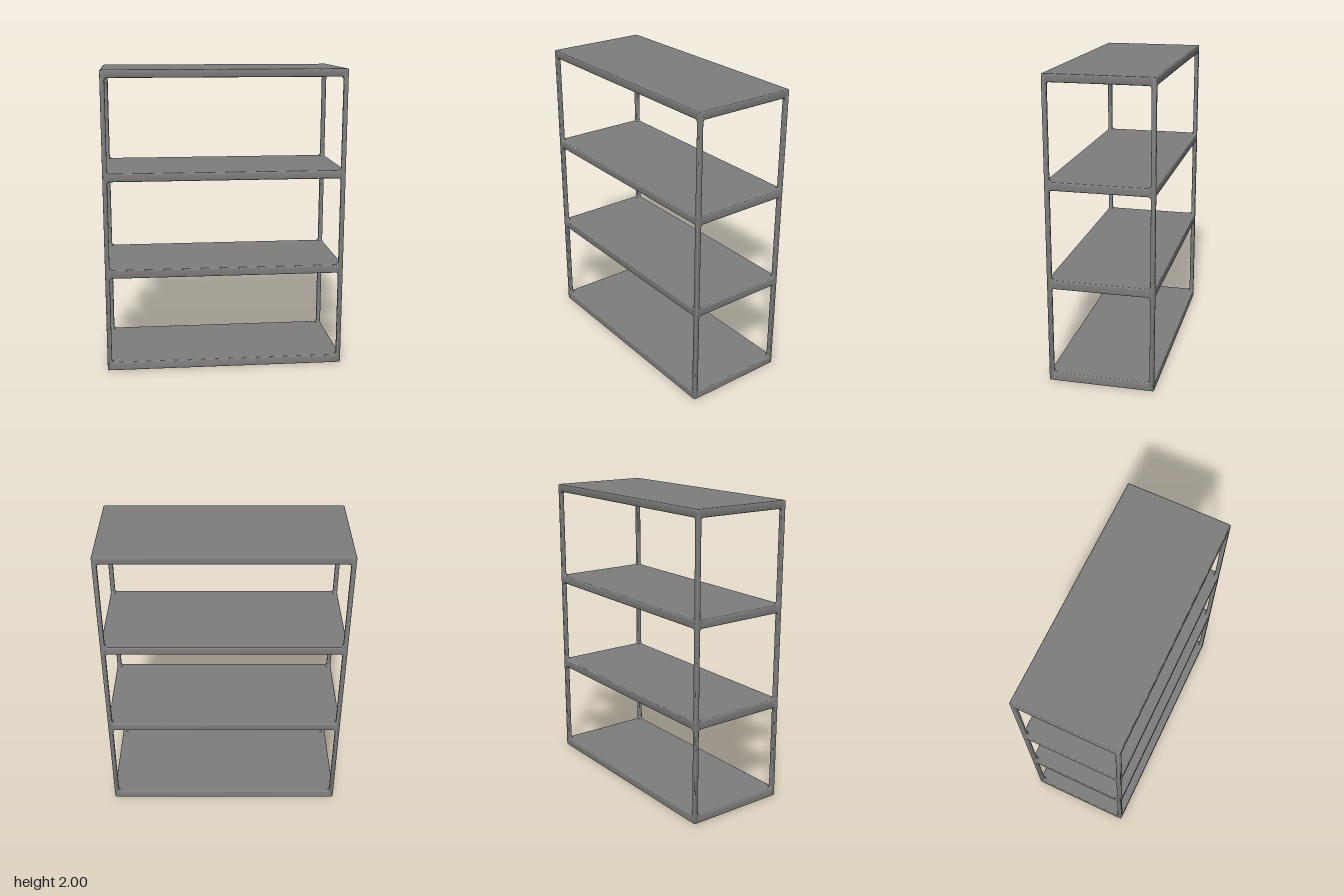
import * as THREE from 'three';
import { toCreasedNormals } from 'three/addons/utils/BufferGeometryUtils.js';

const HALF_W = 0.795, HALF_D = 0.347, HEIGHT = 2;
const TUBE = 0.03, BEVEL = 0.008, FILLET = 0.018;
// Bottom and top height of each shelf
const SHELVES = [[0, 0.057], [0.64, 0.698], [1.285, 1.34], [1.948, HEIGHT]];

const metal = new THREE.MeshStandardMaterial({ color: 0x7e7e7e });
metal.name = 'grey metal';

// Rectangle with rounded corners, drawn into a Shape or Path
function roundedRect(path, x0, y0, x1, y1, r) {
  path.absarc(x1 - r, y0 + r, r, -Math.PI / 2, 0);
  path.absarc(x1 - r, y1 - r, r, 0, Math.PI / 2);
  path.absarc(x0 + r, y1 - r, r, Math.PI / 2, Math.PI);
  path.absarc(x0 + r, y0 + r, r, Math.PI, Math.PI * 1.5);
  path.closePath();
  return path;
}

// Ladder frame: two posts and four rails with filleted openings, centred on z
function ladderGeometry(halfWidth) {
  const shape = roundedRect(new THREE.Shape(), -halfWidth, 0, halfWidth, HEIGHT, 0.01);
  const inner = halfWidth - TUBE;
  for (let i = 0; i < SHELVES.length - 1; i++) {
    shape.holes.push(roundedRect(new THREE.Path(), -inner, SHELVES[i][1], inner, SHELVES[i + 1][0], FILLET));
  }
  const geometry = new THREE.ExtrudeGeometry(shape, {
    depth: TUBE - 2 * BEVEL, curveSegments: 5,
    bevelThickness: BEVEL, bevelSize: BEVEL, bevelOffset: -BEVEL, bevelSegments: 3,
  });
  geometry.translate(0, 0, -(TUBE - 2 * BEVEL) / 2);
  return toCreasedNormals(geometry, Math.PI / 5);
}

export function createModel() {
  const model = new THREE.Group();
  model.name = 'shelvingUnit';

  // Long frames, front and back
  const longFrame = ladderGeometry(HALF_W);
  for (const [name, side] of [['frontFrame', 1], ['backFrame', -1]]) {
    const frame = new THREE.Mesh(longFrame, metal);
    frame.name = name;
    frame.position.z = side * (HALF_D - TUBE / 2);
    model.add(frame);
  }

  // Short frames at both ends
  const endFrame = ladderGeometry(HALF_D);
  for (const [name, side] of [['leftFrame', 1], ['rightFrame', -1]]) {
    const frame = new THREE.Mesh(endFrame, metal);
    frame.name = name;
    frame.rotation.y = Math.PI / 2;
    frame.position.x = side * (HALF_W - TUBE / 2);
    model.add(frame);
  }

  // Shelf boards, flush with the rails
  SHELVES.forEach(([bottom, top], i) => {
    const board = new THREE.Mesh(
      new THREE.BoxGeometry(2 * (HALF_W - BEVEL), top - bottom, 2 * (HALF_D - BEVEL)), metal);
    board.name = `shelf${i + 1}`;
    board.position.y = (bottom + top) / 2;
    model.add(board);
  });

  return model;
}
